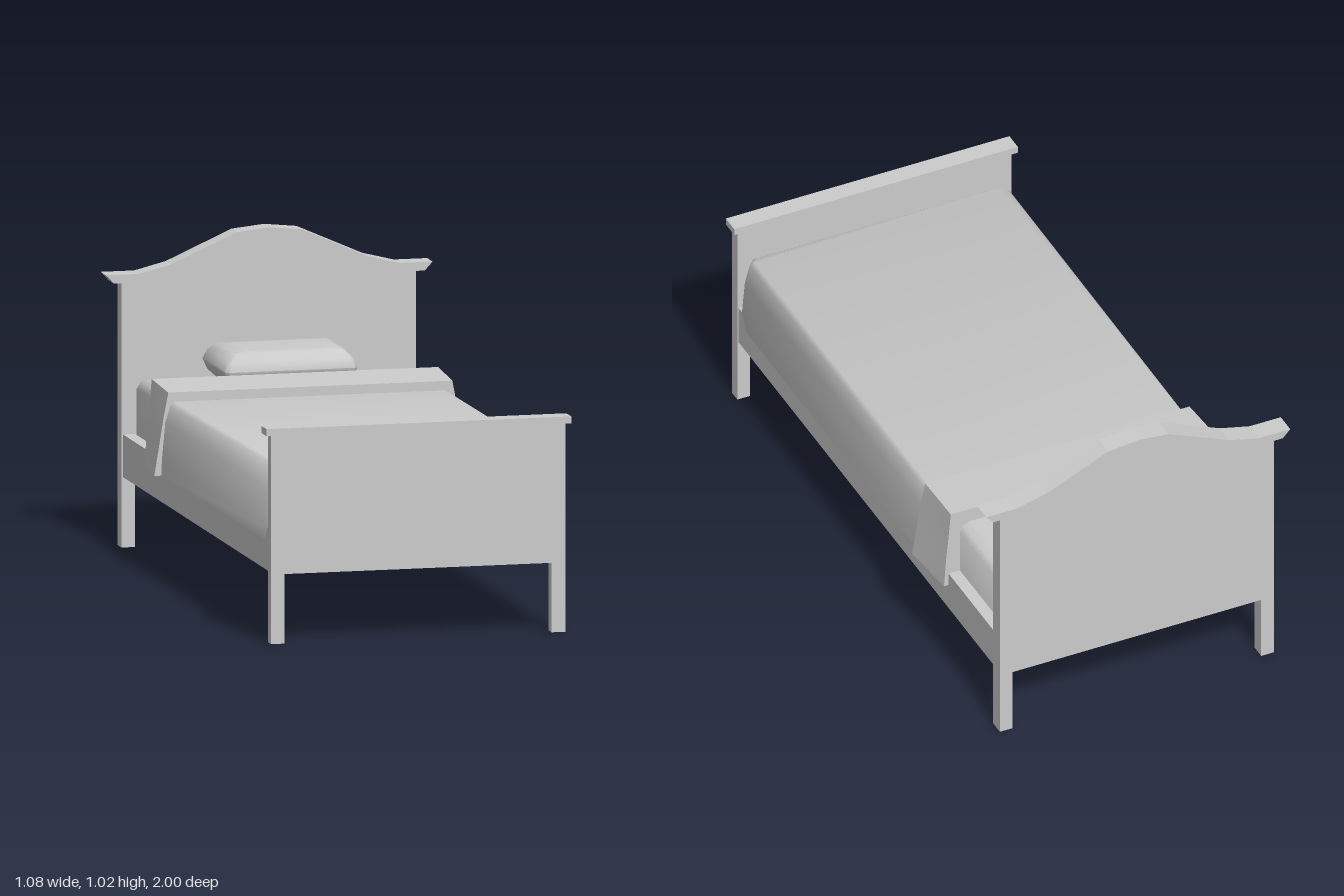
import * as THREE from 'three';
import { toCreasedNormals } from 'three/addons/utils/BufferGeometryUtils.js';

const material = new THREE.MeshStandardMaterial({ color: 0xcccccc });

function add(group, name, geometry) {
  const mesh = new THREE.Mesh(geometry, material);
  mesh.name = name;
  group.add(mesh);
  return mesh;
}

// Box given by its limits on each axis
function block(group, name, [x0, x1], [y0, y1], [z0, z1]) {
  const g = new THREE.BoxGeometry(x1 - x0, y1 - y0, z1 - z0);
  g.translate((x0 + x1) / 2, (y0 + y1) / 2, (z0 + z1) / 2);
  return add(group, name, g);
}

// Flat outline in x, y extruded between two z limits
function board(group, name, points, z0, z1) {
  const shape = new THREE.Shape(points.map(([x, y]) => new THREE.Vector2(x, y)));
  const g = new THREE.ExtrudeGeometry(shape, { depth: z1 - z0, bevelEnabled: false });
  g.translate(0, 0, z0);
  return add(group, name, g);
}

// Mirror a half outline (listed from x > 0 towards the centre) across x = 0
const mirror = (half) => [...half, ...half.filter(([x]) => x > 0).reverse().map(([x, y]) => [-x, y])];

// Soft body: stack of rectangles [y, x0, x1, z0, z1, footCut, headCut] with cut corners
function softStack(rings, crease) {
  const pos = [], index = [], n = 8;
  for (const [y, x0, x1, z0, z1, f, h] of rings) {
    pos.push(x0 + f, y, z1, x1 - f, y, z1, x1, y, z1 - f, x1, y, z0 + h,
      x1 - h, y, z0, x0 + h, y, z0, x0, y, z0 + h, x0, y, z1 - f);
  }
  for (let r = 0; r < rings.length - 1; r++) {
    for (let i = 0; i < n; i++) {
      const a = r * n + i, b = r * n + (i + 1) % n;
      index.push(a, b, b + n, a, b + n, a + n);
    }
  }
  const top = (rings.length - 1) * n;
  for (let i = 1; i < n - 1; i++) {
    index.push(0, i + 1, i, top, top + i, top + i + 1);
  }
  const g = new THREE.BufferGeometry();
  g.setAttribute('position', new THREE.Float32BufferAttribute(pos, 3));
  g.setIndex(index);
  return toCreasedNormals(g, crease);
}

// Panel with two legs in one outline
const panel = (topHalf) => mirror([[0.44, 0], [0.485, 0], ...topHalf]);
function panelOutline(topHalf) {
  return [[-0.44, 0.225], [0.44, 0.225], ...panel(topHalf)];
}

export function createModel() {
  const bed = new THREE.Group();
  bed.name = 'bed';

  // Headboard with a curved crest moulding
  const crestTop = [[0.538, 0.885], [0.428, 0.885], [0.324, 0.911], [0.107, 1.007], [0, 1.018]];
  const crestBottom = [[0.512, 0.857], [0.421, 0.857], [0.324, 0.882], [0.107, 0.976], [0, 0.988]];
  board(bed, 'headboard', panelOutline([[0.485, 0.858], ...crestBottom.slice(1)]), -0.99, -0.94);
  board(bed, 'headboardCrest', [...mirror(crestTop), ...mirror(crestBottom).reverse()], -1, -0.93);

  // Footboard with a straight cap
  board(bed, 'footboard', panelOutline([[0.485, 0.68]]), 0.95, 0.99);
  block(bed, 'footboardCap', [-0.502, 0.502], [0.675, 0.698], [0.937, 1]);

  // Side rails and the closed base between them
  block(bed, 'bedBase', [-0.48, 0.48], [0.228, 0.366], [-0.945, 0.955]);

  // Mattress
  add(bed, 'mattress', softStack([
    [0.36, -0.44, 0.44, -0.93, 0.93, 0.01, 0.01],
    [0.515, -0.44, 0.44, -0.93, 0.93, 0.01, 0.01],
    [0.54, -0.43, 0.43, -0.915, 0.92, 0.01, 0.01],
    [0.551, -0.405, 0.405, -0.895, 0.9, 0.01, 0.01],
  ], 1));

  // Blanket, its top rising slightly towards the foot
  const blanket = softStack([
    [0.32, -0.491, 0.488, -0.41, 0.91, 0.03, 0],
    [0.37, -0.489, 0.486, -0.41, 0.945, 0.03, 0],
    [0.49, -0.478, 0.475, -0.41, 0.945, 0.03, 0],
    [0.545, -0.462, 0.457, -0.41, 0.943, 0.025, 0],
    [0.56, -0.45, 0.445, -0.41, 0.925, 0.02, 0],
  ], 1);
  const p = blanket.attributes.position;
  for (let i = 0; i < p.count; i++) {
    if (p.getY(i) > 0.52) p.setY(i, p.getY(i) + 0.006 * p.getZ(i));
  }
  add(bed, 'blanket', blanket);

  // Folded-over sheet: lower and narrower ends follow its draped sides
  const fold = new THREE.BoxGeometry(2, 1, 0.198, 1, 3, 1);
  const q = fold.attributes.position;
  const rows = [[0.32, 0.514, 0.496], [0.43, 0.496, 0.488], [0.51, 0.483, 0.48], [0.588, 0.468, 0.472]];
  for (let i = 0; i < q.count; i++) {
    const r = Math.round((q.getY(i) + 0.5) * 3);
    const back = q.getZ(i) < 0;
    const [y, wFront, wBack] = rows[r];
    q.setXYZ(i, Math.sign(q.getX(i)) * (back ? wBack : wFront),
      y + (back && r === 3 ? 0.012 : 0), back ? -0.6 : -0.402);
  }
  add(bed, 'foldedSheet', toCreasedNormals(fold, 0.6));

  // Pillow
  add(bed, 'pillow', softStack([
    [0.551, -0.188, 0.175, -0.885, -0.645, 0.01, 0.01],
    [0.575, -0.213, 0.2, -0.91, -0.622, 0.012, 0.012],
    [0.607, -0.226, 0.212, -0.922, -0.61, 0.012, 0.012],
    [0.638, -0.213, 0.2, -0.91, -0.622, 0.012, 0.012],
    [0.662, -0.188, 0.175, -0.885, -0.645, 0.01, 0.01],
    [0.665, -0.14, 0.127, -0.84, -0.69, 0.01, 0.01],
  ], 1.1));

  return bed;
}
